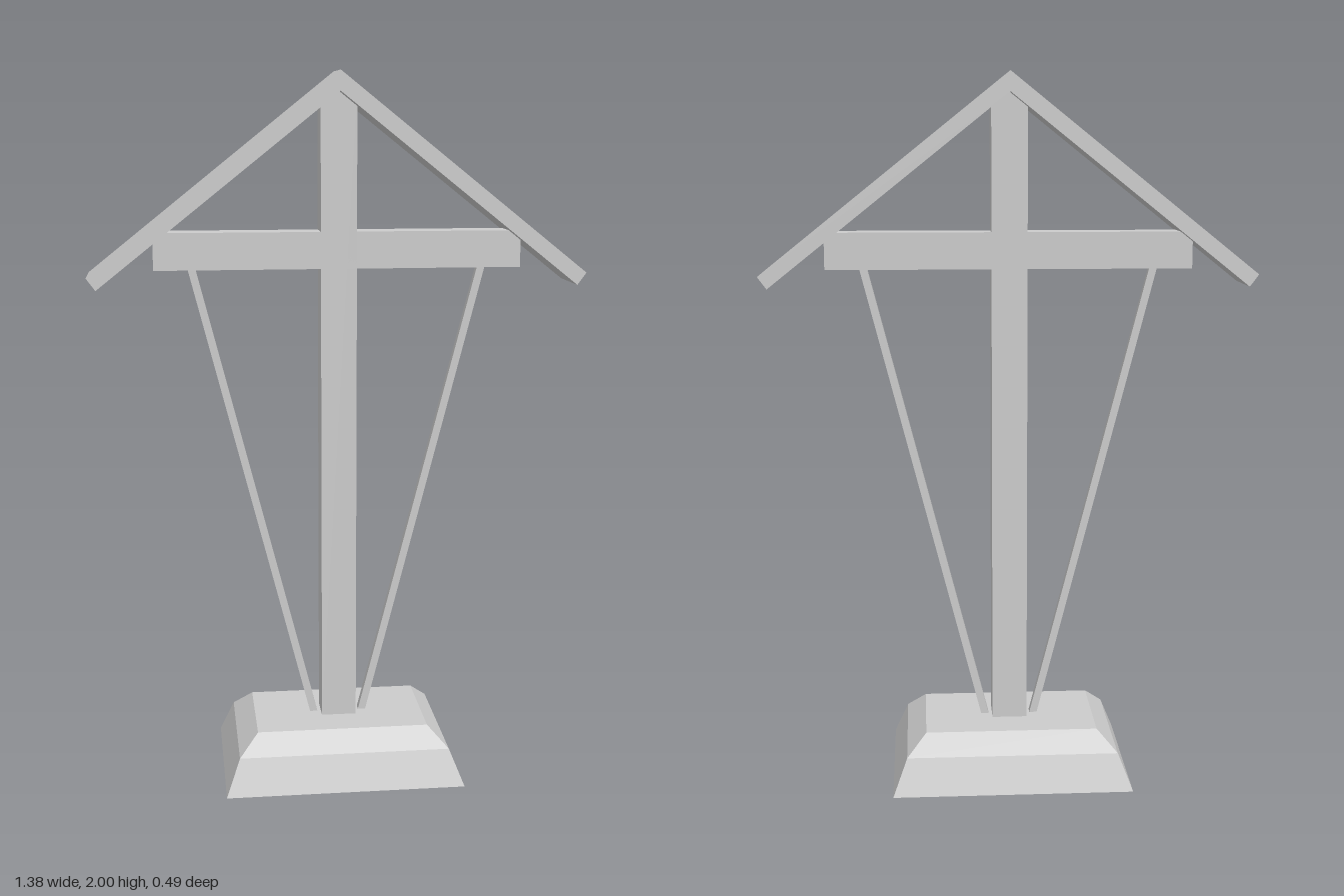
import * as THREE from 'three';

const material = new THREE.MeshStandardMaterial({ color: 0xcccccc, flatShading: true });

function part(name, geometry, x = 0, y = 0, z = 0) {
  const mesh = new THREE.Mesh(geometry, material);
  mesh.name = name;
  mesh.position.set(x, y, z);
  return mesh;
}

// Plinth: a box whose three levels step inward towards the top
function plinthGeometry() {
  const levels = [
    { y: 0, x: 0.34, z: 0.245 },
    { y: 0.1, x: 0.3, z: 0.205 },
    { y: 0.153, x: 0.245, z: 0.15 },
  ];
  const box = new THREE.BoxGeometry(2, 2, 2, 1, 2, 1);
  const p = box.attributes.position;
  for (let i = 0; i < p.count; i++) {
    const level = levels[Math.round(p.getY(i)) + 1];
    p.setXYZ(i, p.getX(i) * level.x, level.y, p.getZ(i) * level.z);
  }
  const flat = box.toNonIndexed();
  flat.computeVertexNormals();
  return flat;
}

// One sloping roof board, mitred at the ridge
function roofGeometry(side) {
  const shape = new THREE.Shape([
    new THREE.Vector2(0, 2),
    new THREE.Vector2(side * 0.69, 1.452),
    new THREE.Vector2(side * 0.665, 1.418),
    new THREE.Vector2(0, 1.945),
  ]);
  const depth = 0.174;
  return new THREE.ExtrudeGeometry(shape, { depth, bevelEnabled: false }).translate(0, 0, -depth / 2);
}

// Slim brace from the foot of the post to the crossbar
function brace(side) {
  const foot = new THREE.Vector3(side * 0.068, 0.14, 0);
  const head = new THREE.Vector3(side * 0.409, 1.48, 0);
  const along = head.clone().sub(foot);
  const mesh = part('brace', new THREE.BoxGeometry(0.021, along.length(), 0.025));
  mesh.position.copy(foot).lerp(head, 0.5);
  mesh.rotation.z = -Math.atan2(along.x, along.y);
  return mesh;
}

export function createModel() {
  const model = new THREE.Group();
  model.name = 'roofedCross';
  model.add(part('plinth', plinthGeometry()));

  // Cross
  model.add(part('post', new THREE.BoxGeometry(0.1, 1.81, 0.09), 0, 1.045, 0));
  model.add(part('crossbar', new THREE.BoxGeometry(1.02, 0.102, 0.09), 0, 1.517, 0));

  // Mirrored roof boards and braces
  for (const side of [-1, 1]) {
    model.add(part(side > 0 ? 'leftRoofBoard' : 'rightRoofBoard', roofGeometry(side)));
    const strut = brace(side);
    strut.name = side > 0 ? 'leftBrace' : 'rightBrace';
    model.add(strut);
  }
  return model;
}
